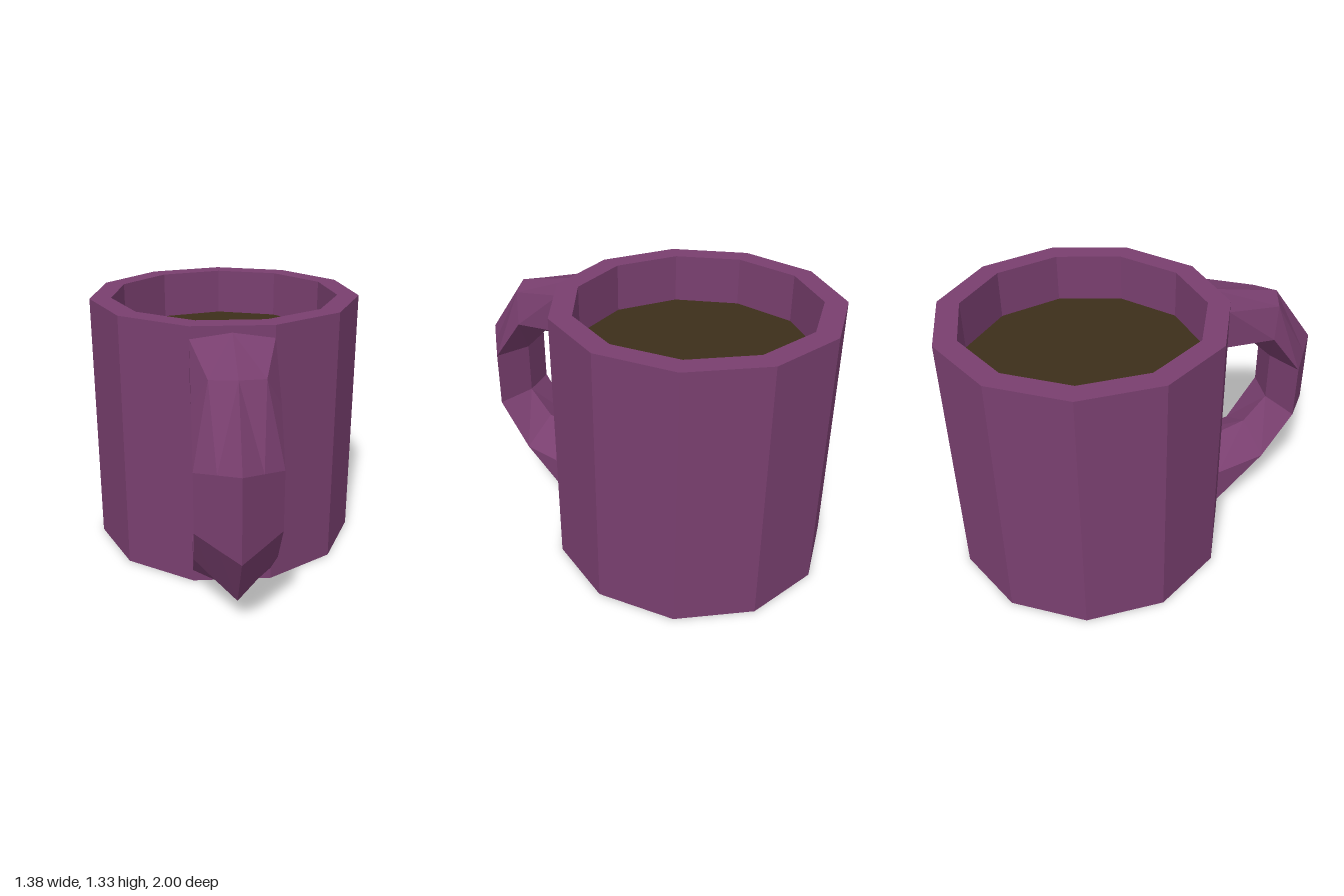
import * as THREE from 'three';

const HEIGHT = 1.325, SIDES = 11, CENTER_Z = -0.301, MID_Y = HEIGHT / 2;
const LIQUID_Y = 1.08, OUTER_R = 0.699, INNER_R = 0.589;

// Six-point handle section: outer ridge, shoulder, side, inner ridge, then mirrored side and shoulder.
// Each argument is [x, y, z].
function section(ridge, shoulder, side, inner) {
  const mirror = ([x, y, z]) => [-x, y, z];
  return [ridge, shoulder, side, inner, mirror(side), mirror(shoulder)];
}

function handleGeometry() {
  const shoulderX = [0.125, 0.1]; // the upper bend is slightly broader than the lower one
  const half = (bendX) => [
    section([0, 1.293, 0.368], [0.197, 1.265, 0.368], [0.197, 1.068, 0.368], [0, 0.98, 0.368]),
    section([0, 1.196, 0.76], [bendX, bendX > 0.11 ? 1.18 : 1.118, 0.7], [0.197, 1.04, 0.64], [0, 0.928, 0.632]),
    section([0, 0.865, 1], [0.0985, 0.837, 0.908], [0.197, 0.808, 0.815], [0, 0.798, 0.762]),
  ];
  // The lower half mirrors the upper half about mid height.
  const lower = half(shoulderX[1]).reverse()
    .map((ring) => ring.map(([x, y, z]) => [x, 2 * MID_Y - y, z]));
  const rings = [...half(shoulderX[0]), ...lower];
  const n = 6, index = [];
  for (let i = 0; i < rings.length - 1; i++) {
    for (let j = 0; j < n; j++) {
      const a = i * n + j, b = i * n + (j + 1) % n, c = b + n, d = a + n;
      // Diagonals run symmetrically left/right and top/bottom.
      if ((i < 2) === (j < 3)) index.push(a, d, c, a, c, b);
      else index.push(a, d, b, d, c, b);
    }
  }
  const g = new THREE.BufferGeometry();
  g.setAttribute('position', new THREE.Float32BufferAttribute(rings.flat(2), 3));
  g.setIndex(index);
  const flat = g.toNonIndexed();
  flat.computeVertexNormals();
  return flat;
}

export function createModel() {
  const group = new THREE.Group();
  group.name = 'mug';
  const ceramic = new THREE.MeshStandardMaterial({ color: 0x793f6f, flatShading: true });
  const drink = new THREE.MeshStandardMaterial({ color: 0x3d2f1a, flatShading: true });

  const add = (name, geometry, material) => {
    const mesh = new THREE.Mesh(geometry, material);
    mesh.name = name;
    group.add(mesh);
    return mesh;
  };

  // Cup: base, outer wall, rim and inner wall down to the drink
  const profile = [[0, 0], [OUTER_R, 0], [OUTER_R, HEIGHT], [INNER_R, HEIGHT], [INNER_R, LIQUID_Y]]
    .map(([r, y]) => new THREE.Vector2(r, y));
  add('cup', new THREE.LatheGeometry(profile, SIDES, Math.PI), ceramic).position.z = CENTER_Z;

  // Drink surface
  const surface = new THREE.CircleGeometry(INNER_R, SIDES, Math.PI / 2);
  surface.rotateX(-Math.PI / 2);
  add('drink', surface, drink).position.set(0, LIQUID_Y, CENTER_Z);

  // Handle
  add('handle', handleGeometry(), ceramic);
  return group;
}
